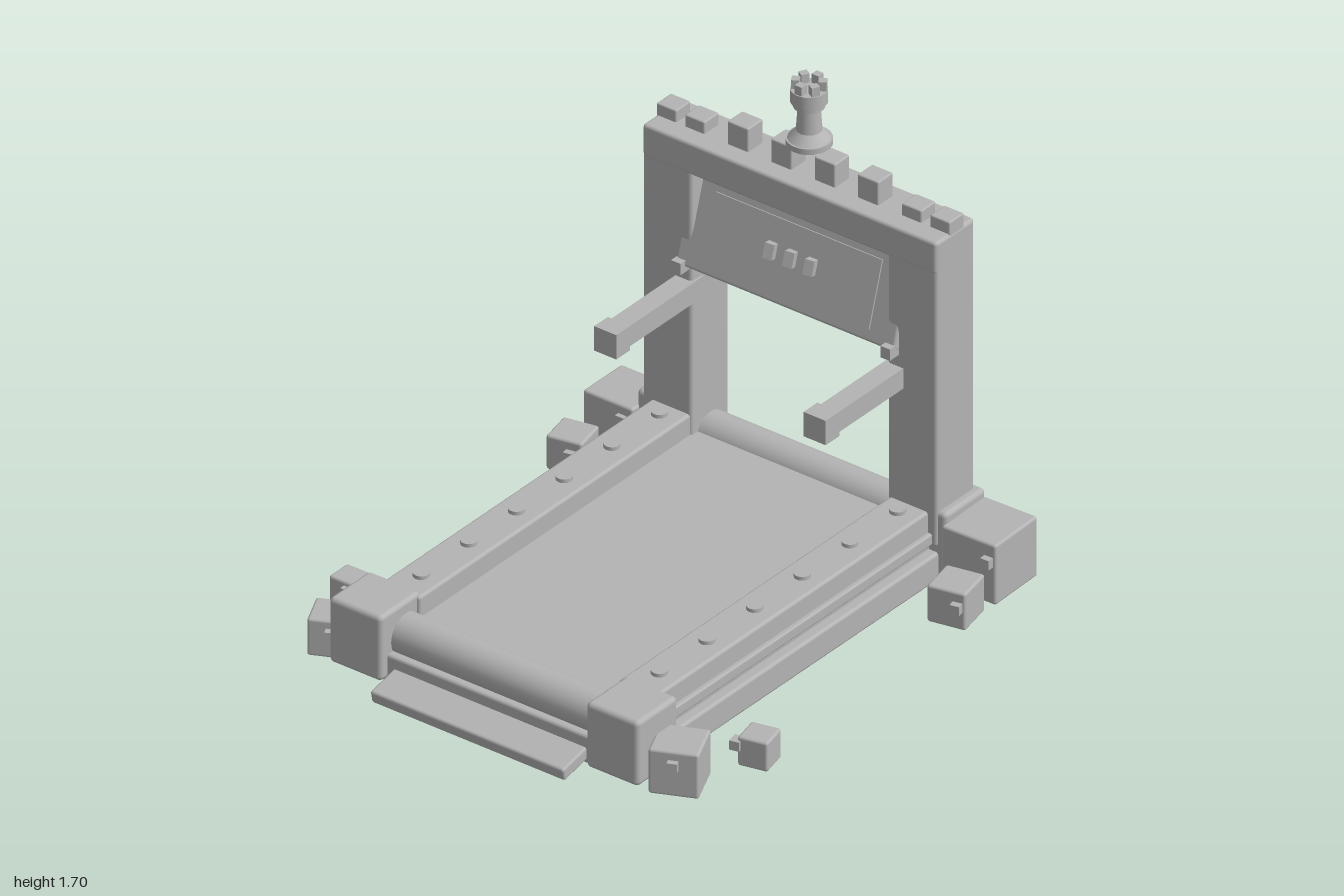
import * as THREE from 'three';
import { RoundedBoxGeometry } from 'three/addons/geometries/RoundedBoxGeometry.js';

export function createModel() {
  const model = new THREE.Group();
  const stone = new THREE.MeshStandardMaterial({ color: 0xb4b4b4 });
  stone.name = 'stoneGrey';

  const add = (name, geometry, x, y, z, parent = model) => {
    const mesh = new THREE.Mesh(geometry, stone);
    mesh.name = name;
    mesh.position.set(x, y, z);
    parent.add(mesh);
    return mesh;
  };
  const box = (name, w, h, d, x, y, z, parent) =>
    add(name, new THREE.BoxGeometry(w, h, d), x, y, z, parent);
  const block = (name, w, h, d, x, y, z, r = 0.014, parent = model) =>
    add(name, new RoundedBoxGeometry(w, h, d, 2, r), x, y, z, parent);

  // everything symmetrical sits on a frame whose middle is slightly off centre
  const frame = new THREE.Group();
  frame.name = 'frame';
  frame.position.x = -0.01;
  model.add(frame);

  // base slab, belt and the tilted entry step
  block('baseSlab', 1.25, 0.11, 1.85, 0, 0.07, -0.055, 0.012, frame);
  box('belt', 0.86, 0.08, 1.56, 0, 0.155, -0.05, frame);
  const step = block('entryStep', 0.82, 0.05, 0.14, 0, 0.042, 0.925, 0.01, frame);
  step.rotation.x = 0.21;

  // rollers at both ends of the belt
  for (const z of [0.772, -0.87]) {
    const roller = add('roller', new THREE.CylinderGeometry(0.078, 0.078, 0.88, 32), 0, 0.162, z, frame);
    roller.rotation.z = Math.PI / 2;
  }

  for (const s of [-1, 1]) {
    // side rails in three steps, with studs
    block('railLip', 0.16, 0.045, 1.5, s * 0.525, 0.173, -0.04, 0.008, frame);
    box('railSkirt', 0.15, 0.08, 1.5, s * 0.51, 0.15, -0.04, frame);
    block('rail', 0.165, 0.13, 1.5, s * 0.505, 0.21, -0.04, 0.012, frame);
    for (let i = 0; i < 6; i++)
      add('railStud', new THREE.CylinderGeometry(0.029, 0.029, 0.03, 20), s * 0.505, 0.274, 0.595 - i * 0.26, frame);

    // corner blocks and upright posts
    block('frontCorner', 0.222, 0.255, 0.222, s * 0.545, 0.158, 0.796, 0.018, frame);
    block('rearCorner', 0.222, 0.27, 0.222, s * 0.545, 0.15, -0.884, 0.018, frame);
    block('post', 0.208, 1.2, 0.208, s * 0.52, 0.745, -0.868, 0.014, frame);

    // hand bars with square grips
    box('handBar', 0.078, 0.08, 0.46, s * 0.444, 0.762, -0.59, frame);
    box('handGrip', 0.094, 0.096, 0.075, s * 0.444, 0.762, -0.368, frame);
    box('consoleBracket', 0.04, 0.045, 0.05, s * 0.444, 0.87, -0.74, frame);

    // small merlons on the post tops
    for (const x of [0.46, 0.58])
      block('smallMerlon', 0.084, 0.07, 0.08, s * x, 1.357, -0.878, 0.006, frame);
    // large merlons on the beam
    for (const x of [0.092, 0.276])
      block('largeMerlon', 0.088, 0.11, 0.082, s * x, 1.381, -0.878, 0.006, frame);
  }
  block('topBeam', 1.245, 0.125, 0.212, 0, 1.283, -0.868, 0.012, frame);

  // console leaning back between the posts
  const consoleGroup = new THREE.Group();
  consoleGroup.name = 'console';
  consoleGroup.position.set(0, 1.019, -0.865);
  consoleGroup.rotation.x = -0.297;
  frame.add(consoleGroup);
  block('consoleBody', 0.93, 0.36, 0.16, 0, 0, 0, 0.012, consoleGroup);
  box('consoleScreen', 0.705, 0.25, 0.02, 0, -0.01, 0.076, consoleGroup);
  for (const x of [-0.085, 0, 0.085]) {
    const button = box('consoleButton', 0.036, 0.055, 0.04, x, 0, 0.098, consoleGroup);
    button.rotation.y = 0.2;
  }

  // castle turret floating above the beam
  const turret = new THREE.Group();
  turret.name = 'turret';
  turret.position.set(0, 1.455, -0.872);
  frame.add(turret);
  const ring = (name, rTop, rBottom, y0, y1) =>
    add(name, new THREE.CylinderGeometry(rTop, rBottom, y1 - y0, 32), 0, (y0 + y1) / 2, 0, turret);
  ring('turretFoot', 0.08, 0.08, 0, 0.022);
  ring('turretFlare', 0.045, 0.074, 0.022, 0.055);
  ring('turretShaft', 0.038, 0.045, 0.055, 0.155);
  ring('turretCollar', 0.054, 0.054, 0.145, 0.168);
  ring('turretHead', 0.064, 0.064, 0.165, 0.215);
  for (let i = 0; i < 6; i++) {
    const a = (i * Math.PI) / 3;
    const tooth = box('turretTooth', 0.03, 0.04, 0.028, Math.sin(a) * 0.046, 0.23, Math.cos(a) * 0.046, turret);
    tooth.rotation.y = a;
  }

  // loose stones: x, z, size, depth, height, turn, nub x, nub y, nub z
  const stones = [
    [0.752, -0.876, 0.225, 0.24, 0.235, 0.03, 0.84, 0.185, -0.748],
    [-0.76, -0.842, 0.21, 0.21, 0.205, 0, -0.697, 0.17, -0.733],
    [0.802, -0.628, 0.145, 0.15, 0.145, 0.2, 0.86, 0.107, -0.552],
    [-0.803, -0.602, 0.135, 0.135, 0.135, 0.2, -0.763, 0.1, -0.532],
    [0.85, 0.505, 0.112, 0.112, 0.115, 0.22, 0.8, 0.1, 0.572],
    [-0.865, 0.533, 0.102, 0.102, 0.1, 0, -0.833, 0.085, 0.59],
    [0.725, 0.78, 0.175, 0.175, 0.175, 0.42, 0.76, 0.142, 0.868],
    [-0.725, 0.808, 0.145, 0.145, 0.145, 0.44, -0.683, 0.115, 0.88],
  ];
  for (const [x, z, w, d, h, turn, nx, ny, nz] of stones) {
    block('looseStone', w, h, d, x, 0.018 + h / 2, z, 0.01).rotation.y = turn;
    box('stoneNub', 0.036, 0.036, 0.045, nx, ny, nz - 0.008).rotation.y = turn;
  }
  return model;
}
